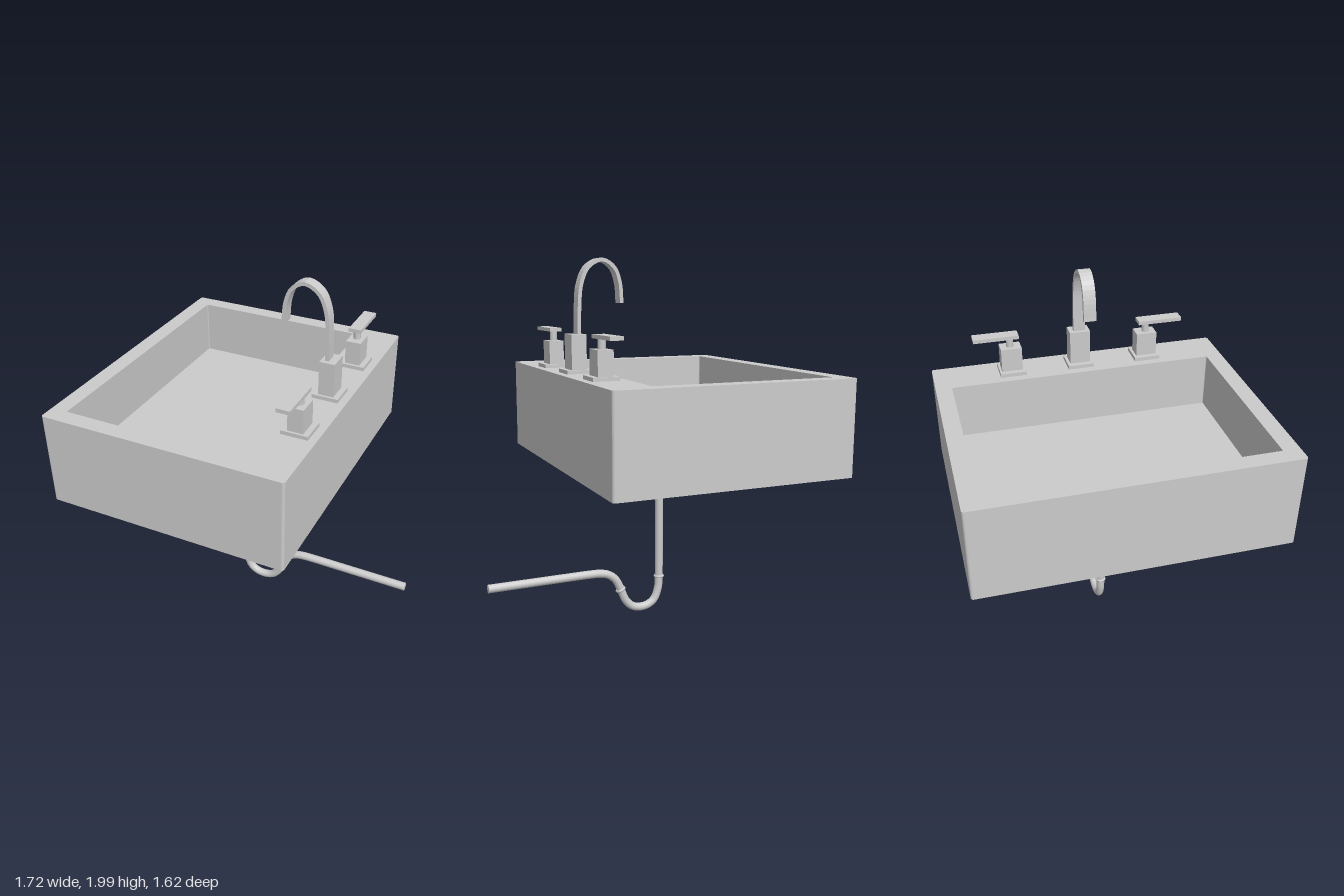
import * as THREE from 'three';

const material = new THREE.MeshStandardMaterial({ color: 0xcccccc });
const flat = new THREE.MeshStandardMaterial({ color: 0xcccccc, flatShading: true });
const V = (x, y, z = 0) => new THREE.Vector3(x, y, z);

function add(parent, name, geometry, mat = material) {
  const mesh = new THREE.Mesh(geometry, mat);
  mesh.name = name;
  parent.add(mesh);
  return mesh;
}

// Box given by its x, y and z ranges
function addBox(parent, name, [x0, x1], [y0, y1], [z0, z1]) {
  const geometry = new THREE.BoxGeometry(x1 - x0, y1 - y0, z1 - z0);
  add(parent, name, geometry).position.set((x0 + x1) / 2, (y0 + y1) / 2, (z0 + z1) / 2);
}

// Rectangle with small rounded corners, drawn in x and -z
function roundedRect(x0, x1, y0, y1, r) {
  const s = new THREE.Shape();
  s.absarc(x1 - r, y1 - r, r, 0, Math.PI / 2);
  s.absarc(x0 + r, y1 - r, r, Math.PI / 2, Math.PI);
  s.absarc(x0 + r, y0 + r, r, Math.PI, Math.PI * 1.5);
  s.absarc(x1 - r, y0 + r, r, Math.PI * 1.5, Math.PI * 2);
  s.closePath();
  return s;
}

function extrudeUp(shape, y0, y1) {
  const geometry = new THREE.ExtrudeGeometry(shape, { depth: y1 - y0, bevelEnabled: false, curveSegments: 4 });
  return geometry.rotateX(-Math.PI / 2).translate(0, y0, 0);
}

function createBasin() {
  const basin = new THREE.Group();
  basin.name = 'basin';
  const outline = () => roundedRect(-0.86, 0.46, -0.812, 0.812, 0.014);
  const walls = outline();
  walls.holes.push(roundedRect(-0.77, 0.23, -0.722, 0.725, 0.006));
  add(basin, 'basinWalls', extrudeUp(walls, 1.095, 1.4));
  add(basin, 'basinFloor', extrudeUp(outline(), 0.89, 1.095));
  return basin;
}

// Flat ribbon bent along an arch
function createSpout() {
  const path = new THREE.CatmullRomCurve3([
    V(0.337, 1.59), V(0.333, 1.75), V(0.322, 1.86), V(0.282, 1.95), V(0.205, 1.99),
    V(0.137, 1.952), V(0.105, 1.875), V(0.095, 1.765),
  ]);
  const n = 32, half = 0.01;
  const side = (sign) => Array.from({ length: n + 1 }, (_, i) => {
    const p = path.getPointAt(i / n), t = path.getTangentAt(i / n);
    return new THREE.Vector2(p.x + sign * half * t.y, p.y - sign * half * t.x);
  });
  const shape = new THREE.Shape([...side(1), ...side(-1).reverse()]);
  return new THREE.ExtrudeGeometry(shape, { depth: 0.066, bevelEnabled: false }).translate(0, 0, -0.033);
}

function createFaucet() {
  const faucet = new THREE.Group();
  faucet.name = 'faucet';
  addBox(faucet, 'faucetPlate', [0.275, 0.418], [1.4, 1.42], [-0.073, 0.07]);
  addBox(faucet, 'faucetBlock', [0.305, 0.388], [1.42, 1.605], [-0.057, 0.056]);
  add(faucet, 'spout', createSpout());
  return faucet;
}

// sign is +1 for the tap near the front, -1 for the one near the back
function createTap(sign) {
  const tap = new THREE.Group();
  tap.name = sign > 0 ? 'frontTap' : 'backTap';
  const z = (a, b) => (sign > 0 ? [a, b] : [-b, -a]);
  addBox(tap, 'tapPlate', [0.275, 0.418], [1.4, 1.42], z(0.31, 0.453));
  addBox(tap, 'tapBlock', [0.305, 0.388], [1.42, 1.55], z(0.326, 0.44));
  add(tap, 'tapStem', new THREE.CylinderGeometry(0.02, 0.02, 0.055, 16)).position.set(0.346, 1.575, sign * 0.385);
  addBox(tap, 'tapLever', [0.312, 0.381], [1.602, 1.622], z(0.338, 0.585));
  return tap;
}

function createDrain() {
  const drain = new THREE.Group();
  drain.name = 'drain';
  const radius = 0.023;

  // U-shaped trap between two straight runs
  const bend = new THREE.CatmullRomCurve3([
    V(-0.145, 0.2), V(-0.14, 0.13), V(-0.115, 0.065), V(-0.075, 0.036), V(-0.025, 0.029),
    V(0.025, 0.043), V(0.065, 0.085), V(0.095, 0.155), V(0.125, 0.213), V(0.165, 0.247),
    V(0.215, 0.262), V(0.3, 0.266),
  ]);
  const path = new THREE.CurvePath();
  path.add(new THREE.LineCurve3(V(-0.145, 0.78), V(-0.145, 0.2)));
  path.add(bend);
  path.add(new THREE.LineCurve3(V(0.3, 0.266), V(0.857, 0.266)));
  add(drain, 'drainPipe', new THREE.TubeGeometry(path, 110, radius, 16));

  // Closed pipe ends
  const cap = new THREE.CircleGeometry(radius, 16);
  const top = add(drain, 'pipeTopEnd', cap);
  top.position.set(-0.145, 0.78, 0);
  top.rotation.x = -Math.PI / 2;
  const outlet = add(drain, 'pipeOutletEnd', cap);
  outlet.position.set(0.857, 0.266, 0);
  outlet.rotation.y = Math.PI / 2;

  // Coupling rings at both ends of the trap
  for (const [x, y, tilt] of [[-0.145, 0.2, 0], [0.095, 0.152, -0.42]]) {
    const ring = add(drain, 'couplingRing', new THREE.TorusGeometry(0.021, 0.009, 8, 20).rotateX(Math.PI / 2));
    ring.position.set(x, y, 0);
    ring.rotation.z = tilt;
  }
  return drain;
}

export function createModel() {
  const model = new THREE.Group();
  model.name = 'sink';
  model.add(createBasin(), createFaucet(), createTap(1), createTap(-1), createDrain());
  model.getObjectByName('basinWalls').material = flat;
  return model;
}
